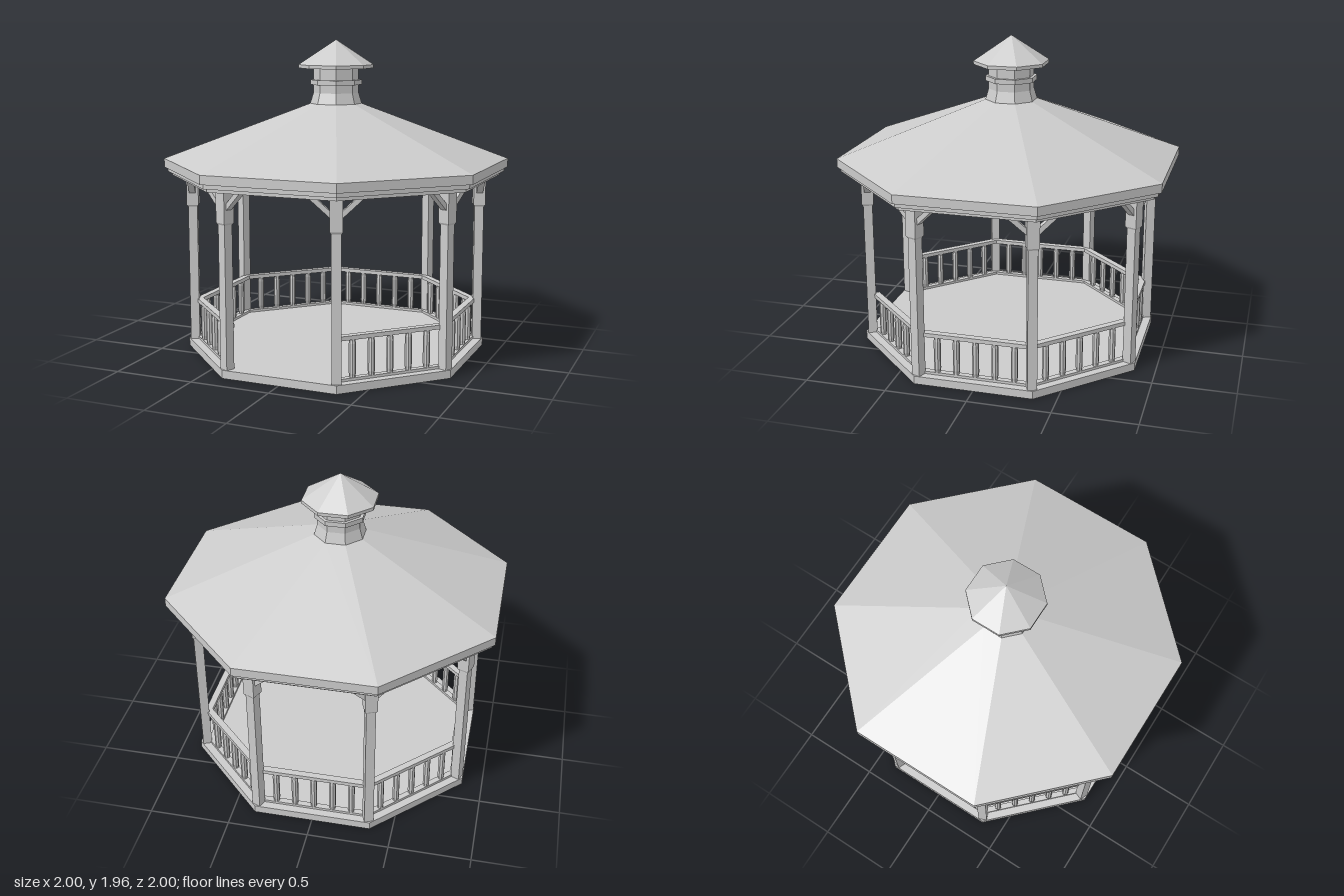
import * as THREE from 'three';

const SIDES = 8;
const STEP = (Math.PI * 2) / SIDES;
const CORNER = Math.cos(STEP / 2); // apothem / corner radius
const material = new THREE.MeshStandardMaterial({ color: 0xcccccc, flatShading: true });

function part(name, geometry, parent, x = 0, y = 0, z = 0) {
  const mesh = new THREE.Mesh(geometry, material);
  mesh.name = name;
  mesh.position.set(x, y, z);
  parent.add(mesh);
  return mesh;
}

// Octagonal solid from [apothem, y] pairs, listed bottom to top
function octagon(profile) {
  const points = profile.map(([a, y]) => new THREE.Vector2(a / CORNER, y));
  return new THREE.LatheGeometry(points, SIDES, STEP / 2);
}

// Square post with capital and two braces; local +z points outward
function makePost() {
  const post = new THREE.Group();
  post.name = 'post';
  part('postShaft', new THREE.BoxGeometry(0.057, 1.08, 0.057), post, 0, 0.585, 0);
  part('postCapital', new THREE.BoxGeometry(0.074, 0.195, 0.074), post, 0, 1.022, 0);
  const collar = new THREE.CylinderGeometry(0.037 * Math.SQRT2, 0.03 * Math.SQRT2, 0.012, 4);
  collar.rotateY(Math.PI / 4);
  part('capitalCollar', collar, post, 0, 0.919, 0);

  const outline = new THREE.Shape([
    new THREE.Vector2(0.03, 0.995), new THREE.Vector2(0.165, 1.12),
    new THREE.Vector2(0.122, 1.12), new THREE.Vector2(0.03, 1.035),
  ]);
  const brace = new THREE.ExtrudeGeometry(outline, { depth: 0.04, bevelEnabled: false });
  brace.translate(0, 0, -0.02);
  for (const turn of [0, Math.PI]) part('brace', brace, post).rotation.y = turn;
  return post;
}

// Straight railing for one side; local +z points outward
function makeRailing() {
  const railing = new THREE.Group();
  railing.name = 'railing';
  part('topRail', new THREE.BoxGeometry(0.67, 0.025, 0.042), railing, 0, 0.303, 0);
  part('bottomRail', new THREE.BoxGeometry(0.67, 0.018, 0.036), railing, 0, 0.057, 0);
  const profile = [[0.018, 0.06], [0.018, 0.075], [0.021, 0.09], [0.021, 0.265], [0.018, 0.28], [0.018, 0.295]];
  const baluster = new THREE.LatheGeometry(profile.map(([r, y]) => new THREE.Vector2(r, y)), 8, STEP / 2);
  for (let i = -2; i <= 2; i++) part('baluster', baluster, railing, i * 0.118);
  return railing;
}

export function createModel() {
  const gazebo = new THREE.Group();
  gazebo.name = 'gazebo';

  // Floor
  part('floor', octagon([[0, 0], [0.875, 0], [0.875, 0.05], [0, 0.05]]), gazebo);

  // Posts on the corners, railings on every side but the front
  for (let i = 0; i < SIDES; i++) {
    const corner = (i + 0.5) * STEP;
    const post = makePost();
    post.position.set(Math.sin(corner) * 0.905, 0, Math.cos(corner) * 0.905);
    post.rotation.y = corner;
    gazebo.add(post);
    if (i === 0) continue;
    const railing = makeRailing();
    railing.position.set(Math.sin(i * STEP) * 0.808, 0, Math.cos(i * STEP) * 0.808);
    railing.rotation.y = i * STEP;
    gazebo.add(railing);
  }

  // Main roof with stepped eaves
  part('roof', octagon([
    [0, 1.113], [0.955, 1.113], [0.955, 1.135], [0.98, 1.135], [0.98, 1.162],
    [1, 1.162], [1, 1.216], [0.148, 1.563], [0, 1.563],
  ]), gazebo);

  // Cupola: flared neck, band and small roof
  part('cupolaNeck', octagon([
    [0.148, 1.555], [0.148, 1.565], [0.13, 1.63], [0.13, 1.785],
  ]), gazebo);
  part('cupolaBand', octagon([[0.12, 1.68], [0.148, 1.68], [0.148, 1.71], [0.12, 1.71]]), gazebo);
  part('cupolaRoof', octagon([[0, 1.782], [0.216, 1.782], [0.216, 1.803], [0, 1.957]]), gazebo);

  return gazebo;
}
